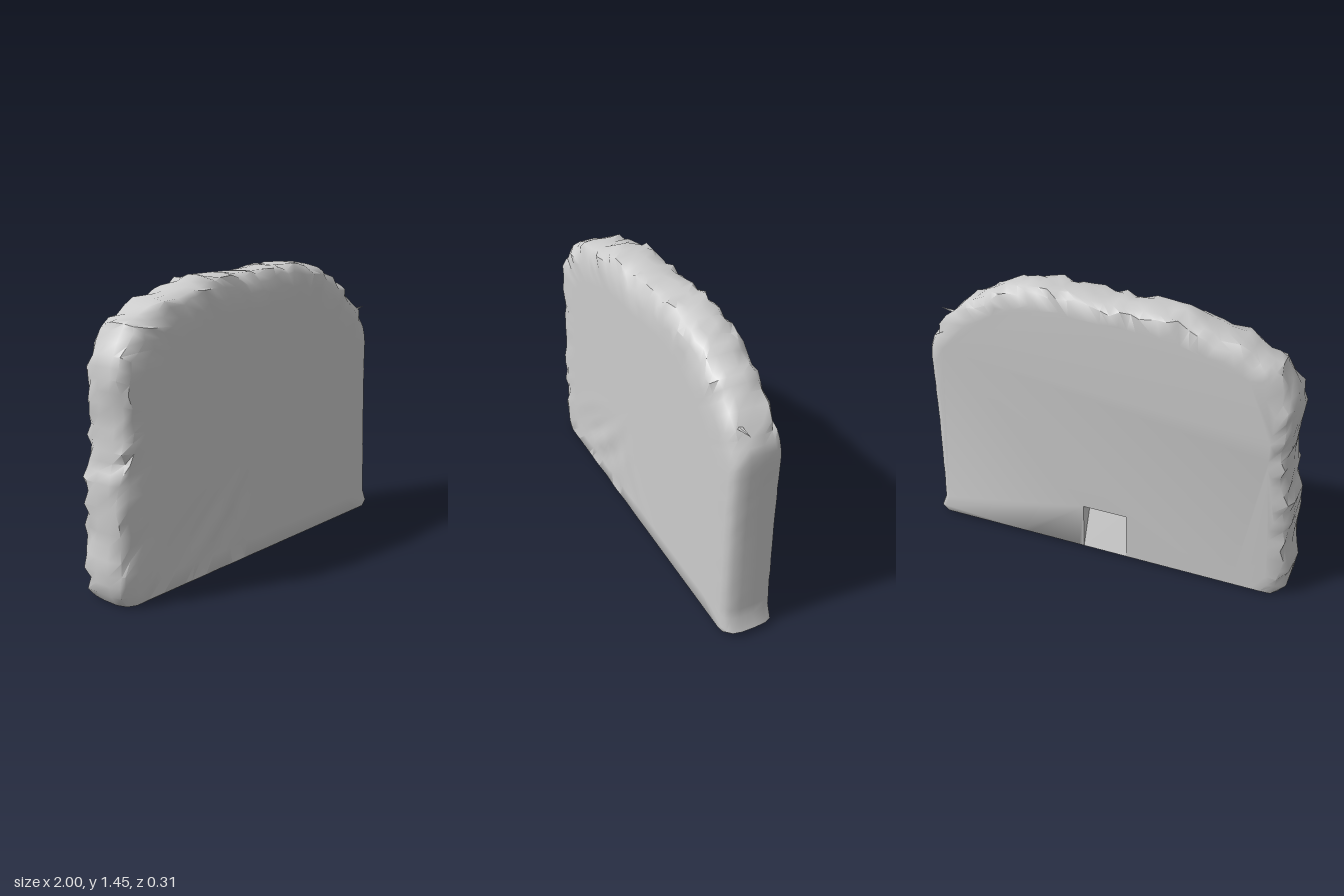
import * as THREE from 'three';
import { mergeGeometries, toCreasedNormals } from 'three/addons/utils/BufferGeometryUtils.js';

// Rough silhouette, from the bottom left corner over the top to the bottom right
const OUTLINE = [
  [-0.95, 0.0], [-0.985, 0.05], [-1.0, 0.15], [-0.98, 0.28], [-0.98, 0.56], [-0.95, 0.65], [-0.94, 0.8],
  [-0.95, 1.02], [-0.93, 1.12], [-0.86, 1.22], [-0.85, 1.25], [-0.77, 1.28], [-0.66, 1.34], [-0.58, 1.355],
  [-0.44, 1.4], [-0.38, 1.43], [-0.28, 1.42], [-0.2, 1.43], [0, 1.43], [0.13, 1.45], [0.28, 1.455],
  [0.4, 1.455], [0.5, 1.43], [0.64, 1.37], [0.7, 1.33], [0.74, 1.32], [0.8, 1.26], [0.85, 1.22],
  [0.9, 1.16], [0.95, 1.09], [0.96, 1.0], [0.955, 0.6], [0.965, 0.1], [0.995, 0.03], [0.96, 0.0],
];
const CENTRE_Y = 0.7;
const NOTCH = { x0: -0.14, x1: 0.1, top: 0.27, depth: 0.1 };

function seeded(seed) {
  return () => {
    seed = (seed * 16807) % 2147483647;
    return seed / 2147483647 - 0.5;
  };
}

// The slab is thicker at its -x end; the front has a chipped patch low down
function frontZ(x, y) {
  const patch = Math.exp(-(((x + 0.3) / 0.3) ** 2) - ((y - 0.22) / 0.15) ** 2);
  return 0.123 - 0.031 * x - 0.012 * y + 0.012 * patch * Math.sin(x * 23 + y * 31);
}
const backZ = (x) => -0.152 - 0.008 * x;

// Split long segments so that every ring has evenly spaced points
function subdivide(points, step) {
  const out = [];
  points.forEach(([x, y], i) => {
    const [nx, ny] = points[(i + 1) % points.length];
    const n = Math.max(1, Math.round(Math.hypot(nx - x, ny - y) / step));
    for (let k = 0; k < n; k++) out.push([x + ((nx - x) * k) / n, y + ((ny - y) * k) / n]);
  });
  return out;
}

function meshFrom(positions, index) {
  const g = new THREE.BufferGeometry();
  g.setAttribute('position', new THREE.Float32BufferAttribute(positions, 3));
  g.setIndex(index);
  return g.toNonIndexed();
}

// Rings from the middle of the front face, around the rounded rim, to the back
function buildRings(outline) {
  const rand = seeded(77);
  const rim = [
    [0.11, 0], [0.05, 0.04], [0.015, 0.14], [0, 0.32], [0, 0.6], [0.008, 0.84], [0.035, 0.96], [0.09, 1],
  ];
  const inset = (x, y, d) => {
    const smoothSide = x > 0.9 && y < 1.05 ? 0.5 : 1;
    const kx = 1 - (d * smoothSide) / 0.98;
    const ky = 1 - (y < CENTRE_Y ? d * 0.15 : d) / 0.73;
    return [x * kx, CENTRE_Y + (y - CENTRE_Y) * ky];
  };
  const rings = [0.001, 0.2, 0.4, 0.6, 0.75, 0.88].map((s) =>
    outline.map(([x, y]) => {
      const [ix, iy] = inset(x, y, 0.11);
      const px = ix * s;
      const py = CENTRE_Y + (iy - CENTRE_Y) * s;
      return [px, py, frontZ(px, py)];
    }));
  rim.forEach(([d, t]) => {
    rings.push(outline.map(([x, y]) => {
      const rough = y < 0.04 ? 0 : x > 0.9 && y < 1.05 ? 0.15 : 1;
      const jitter = 0.035 * rough * (t > 0.2 && t < 0.8 ? 0.5 : 1);
      const [px, py] = inset(x, y, Math.max(0, d + rand() * jitter));
      const zJitter = t > 0 && t < 1 ? rand() * 0.02 * rough : 0;
      return [px, py, THREE.MathUtils.lerp(frontZ(px, py), backZ(px), t) + zJitter];
    }));
  });
  return rings;
}

function skinRings(rings) {
  const n = rings[0].length;
  const index = [];
  for (let r = 0; r < rings.length - 1; r++) {
    for (let i = 0; i < n; i++) {
      const a = r * n + i, b = r * n + ((i + 1) % n);
      index.push(a, b, a + n, b, b + n, a + n);
    }
  }
  return meshFrom(rings.flat(2), index);
}

// Flat back face, with the notch cut out of its lower edge
function backFace(ring) {
  const { x0, x1, top } = NOTCH;
  const base = Math.min(...ring.map((p) => p[1]));
  const contour = ring.filter(([x, y]) => !(y < base + 0.02 && x > x0 - 0.01 && x < x1 + 0.01))
    .map(([x, y]) => [x, y]);
  let at = contour.findIndex(([x, y], i) => i > contour.length / 2 && y < base + 0.01 && x < x0);
  if (at < 0) at = contour.length;
  contour.splice(at, 0, [x1, base], [x1, top], [x0, top], [x0, base]);
  const shape = new THREE.Shape(contour.map(([x, y]) => new THREE.Vector2(x, y)));
  const g = new THREE.ShapeGeometry(shape);
  const p = g.attributes.position;
  const positions = [];
  for (let i = 0; i < p.count; i++) positions.push(p.getX(i), p.getY(i), backZ(p.getX(i)));
  return meshFrom(positions, Array.from(g.index.array).reverse());
}

// Recess that is deepest at its top and runs out at the base
function notchGeometry(base) {
  const { x0, x1, top, depth } = NOTCH;
  const positions = [
    [x1, top, backZ(x1)], [x0, top, backZ(x0)],
    [x1, top, backZ(x1) + depth], [x0, top, backZ(x0) + depth],
    [x1, base, backZ(x1)], [x0, base, backZ(x0)],
  ].flat();
  return meshFrom(positions, [4, 5, 3, 4, 3, 2, 2, 3, 1, 2, 1, 0, 4, 2, 0, 5, 1, 3]);
}

export function createModel() {
  const group = new THREE.Group();
  group.name = 'stoneSlab';
  const material = new THREE.MeshStandardMaterial({ color: 0xcccccc });
  const add = (name, geometry, mat = material) => {
    const mesh = new THREE.Mesh(geometry, mat);
    mesh.name = name;
    group.add(mesh);
    return mesh;
  };

  // Slab body
  const rings = buildRings(subdivide(OUTLINE, 0.055));
  const last = rings[rings.length - 1];
  const body = mergeGeometries([skinRings(rings), backFace(last)]);
  add('slabBody', toCreasedNormals(body, 0.95));

  // Notch at the foot of the back
  const base = Math.min(...last.map((p) => p[1]));
  add('backNotch', toCreasedNormals(notchGeometry(base), 0.6));

  // Thin splinter sticking out of the shoulder
  const splinter = new THREE.ConeGeometry(0.025, 0.16, 5);
  splinter.scale(0.5, 1, 1);
  splinter.rotateZ(-Math.PI / 2 + 0.15);
  add('splinter', splinter).position.set(0.9, 1.165, 0.03);

  return group;
}
